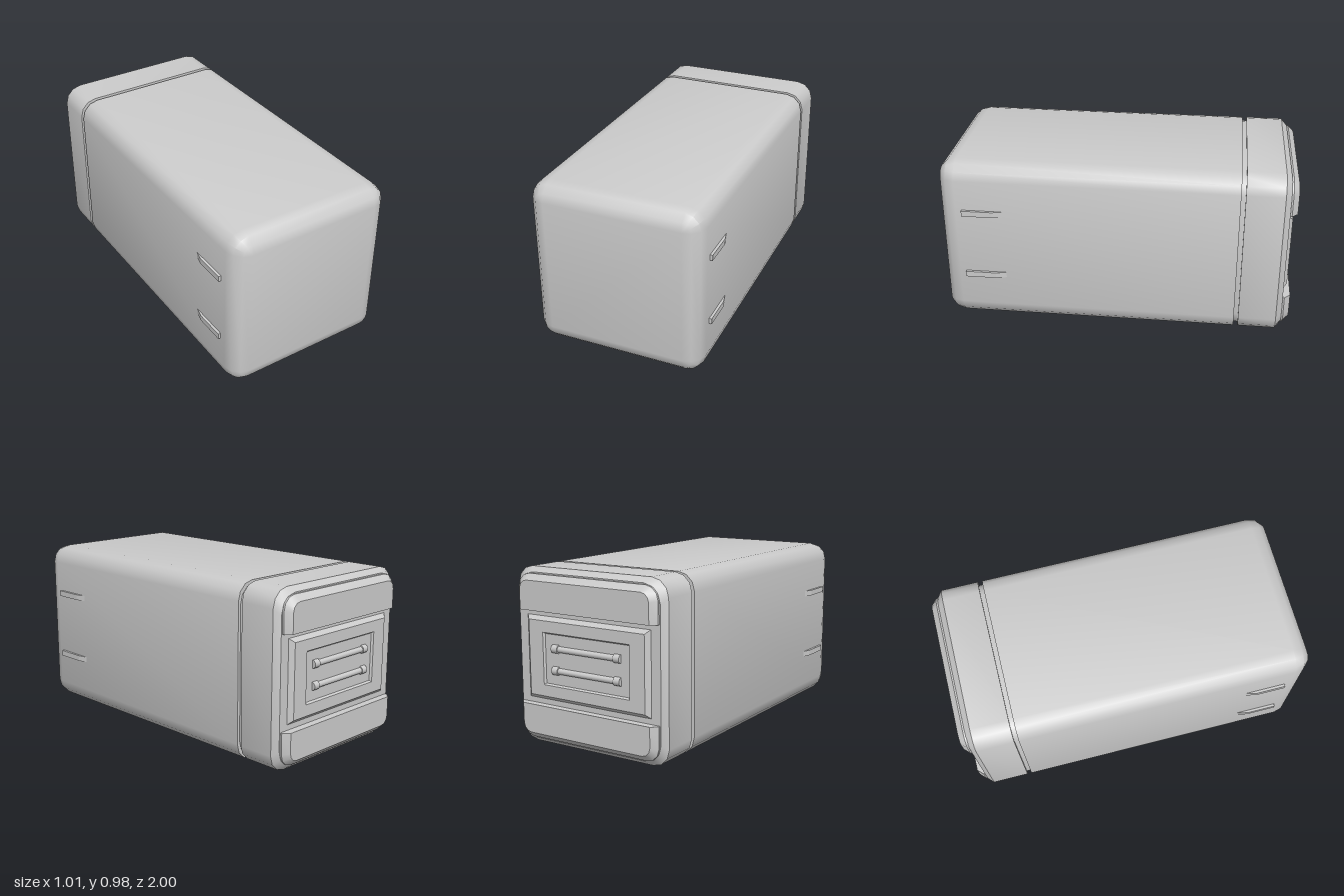
import * as THREE from 'three';
import { toCreasedNormals } from 'three/addons/utils/BufferGeometryUtils.js';

const HALF = 0.49, MID = 0.49, R = 0.1;

// Counter-clockwise rectangle; radii of the lower and upper corners
function outline(x, y0, y1, rLow, rHigh) {
  const corners = [[x, y1, rHigh, 0], [-x, y1, rHigh, 1], [-x, y0, rLow, 2], [x, y0, rLow, 3]];
  return corners.flatMap(([cx, cy, r, q]) => {
    if (!r) return [[cx, cy]];
    const ox = cx - Math.sign(cx) * r, oy = q < 2 ? cy - r : cy + r;
    return [0, 1, 2, 3].map((i) => {
      const a = (q + i / 3) * Math.PI / 2;
      return [ox + r * Math.cos(a), oy + r * Math.sin(a)];
    });
  });
}

// Full body outline, shrunk by an inset
const ring = (inset, r = R) =>
  outline(HALF - inset, MID - HALF + inset, MID + HALF - inset, r, r);

// Joins [z, outline] sections from front to back and closes both ends
function loft(sections) {
  const n = sections[0][1].length, pos = [], idx = [];
  for (const [z, pts] of sections) for (const [x, y] of pts) pos.push(x, y, z);
  for (let s = 0; s < sections.length - 1; s++) {
    for (let i = 0; i < n; i++) {
      const j = (i + 1) % n, a = s * n, b = a + n;
      idx.push(b + i, b + j, a + j, b + i, a + j, a + i);
    }
  }
  const last = (sections.length - 1) * n;
  for (let i = 1; i < n - 1; i++) idx.push(0, i, i + 1, last, last + i + 1, last + i);
  const g = new THREE.BufferGeometry();
  g.setAttribute('position', new THREE.Float32BufferAttribute(pos, 3));
  g.setIndex(idx);
  return toCreasedNormals(g, 0.6);
}

export function createModel() {
  const model = new THREE.Group();
  const material = new THREE.MeshStandardMaterial({ color: 0xcccccc });
  const add = (name, geometry) => {
    const mesh = new THREE.Mesh(geometry, material);
    mesh.name = name;
    model.add(mesh);
    return mesh;
  };

  // Main shell with rounded front edges
  const front = [3, 2, 1, 0].map((i) => {
    const a = i * Math.PI / 6;
    return [0.9 + R * Math.sin(a), ring(R * (1 - Math.cos(a)), Math.max(R * Math.cos(a), 0.002))];
  });
  add('shell', loft([...front, [-0.687, ring(0)]]));

  // Recessed seam and chamfered rear cap
  add('seam', loft([[-0.68, ring(0.016)], [-0.72, ring(0.016)]]));
  add('rearCap', loft([[-0.712, ring(0)], [-0.925, ring(0)], [-0.957, ring(0.028)]]));

  // Bevelled pads above and below the rear panel
  const padSections = [[-0.95, 0.035, 0.075], [-0.967, 0.035, 0.075], [-1, 0.068, 0.05]];
  add('upperPad', loft(padSections.map(([z, d, r]) =>
    [z, outline(HALF - d, 0.75, 0.98 - d, 0, r)])));
  add('lowerPad', loft(padSections.map(([z, d, r]) =>
    [z, outline(HALF - d, d, 0.23, r, 0)])));

  // Rear panel: bevelled frame around a shallow recess
  const rect = (x, y) => outline(x, MID - y, MID + y, 0, 0);
  add('rearPanel', loft([
    [-0.95, rect(0.405, 0.23)], [-0.957, rect(0.405, 0.23)], [-0.98, rect(0.38, 0.208)],
    [-0.98, rect(0.285, 0.145)], [-0.968, rect(0.277, 0.137)],
  ]));

  // Two horizontal bars with thicker ends in the recess
  const cylinder = (r, length) => new THREE.CylinderGeometry(r, r, length, 16).rotateZ(Math.PI / 2);
  for (const y of [0.43, 0.55]) {
    add('bar', cylinder(0.017, 0.42)).position.set(0, y, -0.967);
    for (const side of [-1, 1]) {
      add('barEnd', cylinder(0.024, 0.04)).position.set(side * 0.205, y, -0.965);
    }
  }

  // Tapered ribs on both sides
  for (const side of [-1, 1]) {
    for (const y of [0.28, 0.672]) {
      const profile = new THREE.Shape([[0.48, 0.865], [0.505, 0.865], [0.505, 0.69], [0.49, 0.63], [0.48, 0.63]]
        .map(([x, z]) => new THREE.Vector2(side * x, -z)));
      const rib = new THREE.ExtrudeGeometry(profile, { depth: 0.033, bevelEnabled: false });
      add('sideRib', rib.rotateX(-Math.PI / 2)).position.y = y;
    }
  }
  return model;
}
